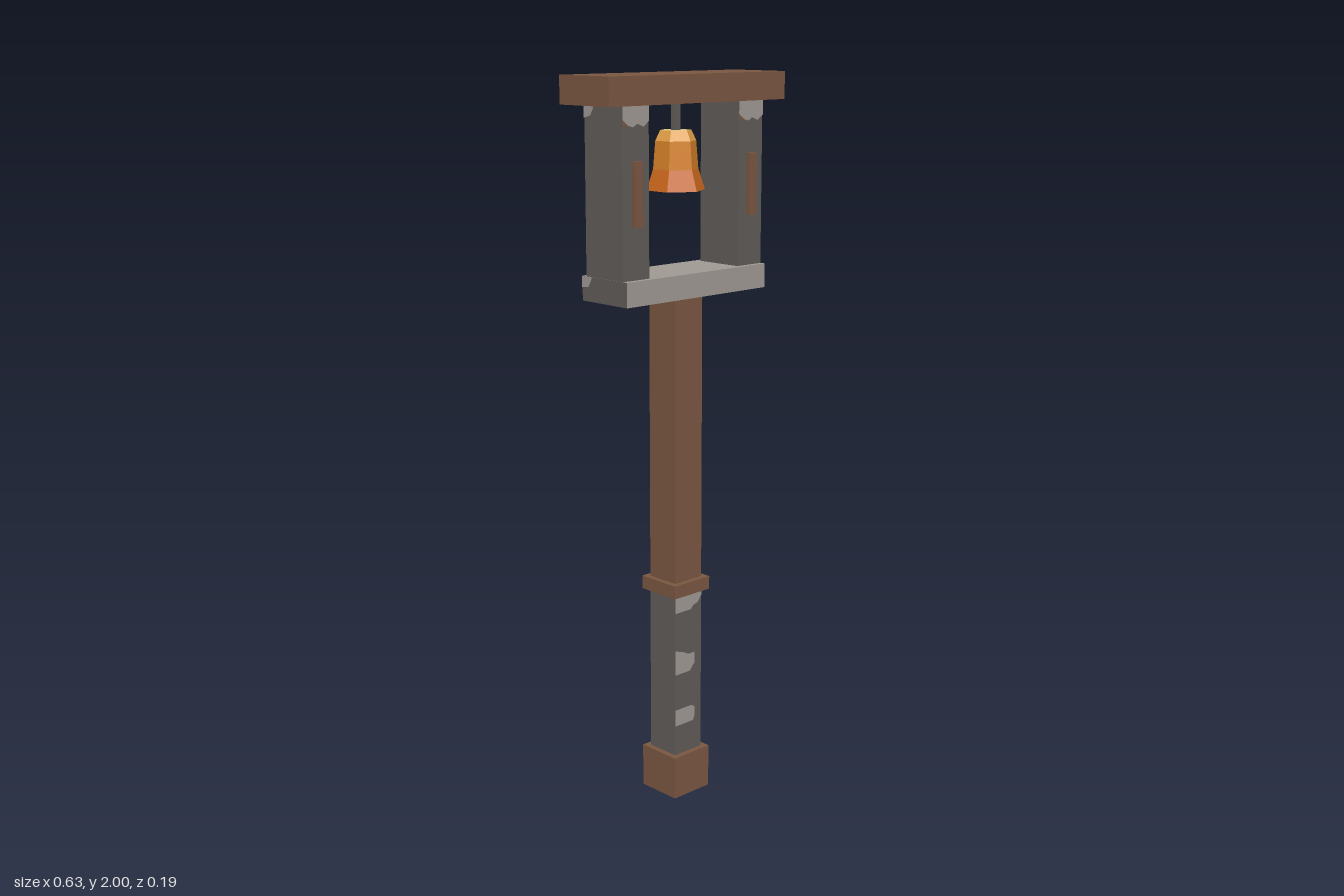
import * as THREE from 'three';

const mat = (name, color) => {
  const m = new THREE.MeshStandardMaterial({ color });
  m.name = name;
  return m;
};

export function createModel() {
  const model = new THREE.Group();
  model.name = 'bellPost';

  const wood = mat('brown wood', 0x7a5741);
  const stone = mat('dark stone', 0x605c58);
  const pale = mat('pale stone', 0xa09a95);
  const crownGold = mat('pale gold', 0xdcc47c);
  const gold = mat('gold', 0xe0a045);
  const amber = mat('amber', 0xd98329);
  const orange = mat('deep orange', 0xcb681d);
  const olive = mat('bell underside', 0x8a7848);

  const add = (parent, name, geometry, material, x = 0, y = 0, z = 0) => {
    const mesh = new THREE.Mesh(geometry, material);
    mesh.name = name;
    mesh.position.set(x, y, z);
    parent.add(mesh);
    return mesh;
  };
  // Box centred on x and z unless moved, spanning y0 to y1
  const box = (parent, name, w, y0, y1, d, material, x = 0, z = 0) =>
    add(parent, name, new THREE.BoxGeometry(w, y1 - y0, d), material, x, (y0 + y1) / 2, z);
  // Flat worn patch from outline points, facing +z
  const patch = (parent, name, points, z, material = pale) =>
    add(parent, name, new THREE.ShapeGeometry(
      new THREE.Shape(points.map(([x, y]) => new THREE.Vector2(x, y)))), material, 0, 0, z);

  // Post
  box(model, 'foot', 0.132, 0, 0.122, 0.132, wood);
  box(model, 'lowerPost', 0.1, 0.122, 0.595, 0.1, stone);
  box(model, 'collar', 0.132, 0.595, 0.632, 0.132, wood);
  box(model, 'upperPost', 0.1, 0.632, 1.425, 0.1, wood);

  // Bell frame
  box(model, 'sill', 0.504, 1.425, 1.49, 0.172, [stone, stone, pale, stone, pale, pale]);
  for (const x of [-0.206, 0.206]) box(model, 'pillar', 0.09, 1.49, 1.927, 0.142, stone, x);
  box(model, 'topBeam', 0.626, 1.927, 2, 0.187, wood);

  // Front details, repeated on the back by a half turn
  for (const turn of [0, Math.PI]) {
    const face = new THREE.Group();
    face.name = turn ? 'backDetails' : 'frontDetails';
    face.rotation.y = turn;
    model.add(face);

    for (const x of [-0.206, 0.206]) {
      box(face, 'pillarInlay', 0.028, 1.625, 1.79, 0.016, wood, x, 0.075);
      const l = x - 0.045, r = x + 0.045;
      patch(face, 'pillarWear', [[l, 1.893], [l + 0.02, 1.878], [l + 0.035, 1.874],
        [l + 0.05, 1.882], [l + 0.07, 1.874], [r, 1.888], [r, 1.927], [l, 1.927]], 0.073);
      patch(face, 'pillarWearEdge', [[l, 1.883], [l + 0.02, 1.872], [l + 0.02, 1.878], [l, 1.893]], 0.073, wood);
    }
    patch(face, 'postWearTop', [[-0.05, 0.545], [0.008, 0.545], [0.018, 0.555], [0.035, 0.56],
      [0.05, 0.58], [0.05, 0.595], [-0.05, 0.595]], 0.052);
    patch(face, 'postWearMiddle', [[-0.05, 0.363], [0.005, 0.363], [0.024, 0.385], [0.024, 0.415],
      [0, 0.415], [-0.02, 0.425], [-0.05, 0.435]], 0.052);
    patch(face, 'postWearLow', [[-0.05, 0.21], [0.018, 0.21], [0.024, 0.225], [0.024, 0.25],
      [0.01, 0.258], [-0.05, 0.258]], 0.052);

    // Small chips on the narrow ends
    const end = new THREE.Group();
    end.name = 'endDetails';
    end.rotation.y = Math.PI / 2;
    face.add(end);
    patch(end, 'pillarChip', [[-0.071, 1.893], [-0.045, 1.9], [-0.03, 1.927], [-0.071, 1.927]], 0.2535);
    patch(end, 'sillChip', [[-0.086, 1.46], [-0.06, 1.463], [-0.045, 1.49], [-0.086, 1.49]], 0.2545);
  }

  // Six-sided bell, built in flat-faced bands
  const bell = new THREE.Group();
  bell.name = 'bell';
  model.add(bell);
  const bands = [
    ['bellShoulder', 0.042, 1.855, 0.055, 1.828, gold],
    ['bellWaist', 0.055, 1.828, 0.061, 1.755, amber],
    ['bellLip', 0.061, 1.755, 0.079, 1.7, orange],
  ];
  for (const [name, rTop, yTop, rBottom, yBottom, material] of bands) {
    const g = new THREE.CylinderGeometry(rTop, rBottom, yTop - yBottom, 6, 1, true).toNonIndexed();
    g.computeVertexNormals();
    add(bell, name, g, material, 0, (yTop + yBottom) / 2);
  }
  const cap = (name, r, y, material, tilt) => {
    const mesh = add(bell, name, new THREE.CircleGeometry(r, 6, Math.PI / 2), material, 0, y);
    mesh.rotation.x = tilt;
  };
  cap('bellCrown', 0.042, 1.855, crownGold, -Math.PI / 2);
  cap('bellUnderside', 0.079, 1.7, olive, Math.PI / 2);
  box(bell, 'hanger', 0.018, 1.85, 1.93, 0.018, stone);

  return model;
}
